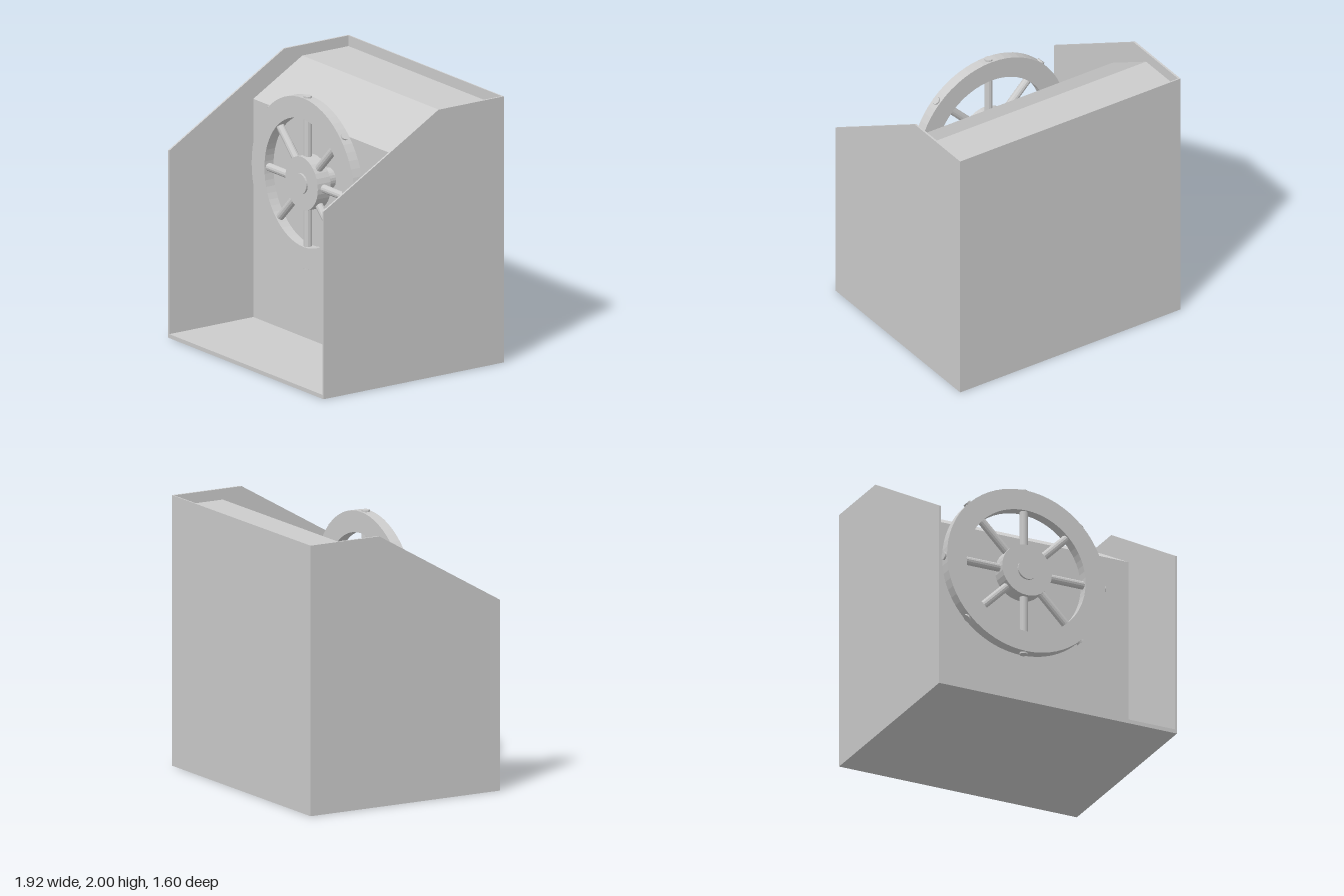
import * as THREE from 'three';

const material = new THREE.MeshStandardMaterial({ color: 0xcccccc, flatShading: true });

// Extrude a [z, y] profile along x, centred on the given x
function profileAlongX(points, width, x) {
  const shape = new THREE.Shape(points.map(([z, y]) => new THREE.Vector2(z, y)));
  const geometry = new THREE.ExtrudeGeometry(shape, { depth: width, bevelEnabled: false });
  geometry.translate(0, 0, -width / 2).rotateY(-Math.PI / 2).translate(x, 0, 0);
  return geometry;
}

function add(parent, name, geometry) {
  const mesh = new THREE.Mesh(geometry, material);
  mesh.name = name;
  parent.add(mesh);
  return mesh;
}

// Cylinder running along z between two depths
function discAlongZ(radius, back, front, sides) {
  return new THREE.CylinderGeometry(radius, radius, front - back, sides)
    .rotateX(Math.PI / 2).translate(0, 0, (back + front) / 2);
}

export function createModel() {
  const model = new THREE.Group();
  model.name = 'wheelHousing';
  const halfWidth = 0.96, wall = 0.015;
  const innerWidth = 2 * (halfWidth - wall);

  // Side walls with sloping front corner
  const sideProfile = [[-0.8, 0], [0.8, 0], [0.8, 1.41], [-0.22, 2], [-0.8, 2]];
  for (const side of [1, -1]) {
    add(model, side > 0 ? 'leftWall' : 'rightWall',
      profileAlongX(sideProfile, wall, side * (halfWidth - wall / 2)));
  }

  // Back wall and floor
  add(model, 'backWall', new THREE.BoxGeometry(innerWidth, 2, 0.01).translate(0, 1, -0.795));
  add(model, 'floor', new THREE.BoxGeometry(innerWidth, 0.03, 1.59).translate(0, 0.015, 0.005));

  // Inner body with sloped shoulder
  add(model, 'innerBody', profileAlongX(
    [[-0.79, 0.03], [0.055, 0.03], [0.055, 1.67], [-0.38, 1.92], [-0.79, 1.92]], innerWidth, 0));

  // Wheel on its axle
  const wheel = new THREE.Group();
  wheel.name = 'wheel';
  wheel.position.set(0, 1.305, 0);
  model.add(wheel);

  add(wheel, 'axle', discAlongZ(0.077, 0.05, 0.32, 24));
  add(wheel, 'hub', discAlongZ(0.2, 0.19, 0.305, 32));

  const ring = new THREE.Shape().absarc(0, 0, 0.638, 0, Math.PI * 2, false);
  ring.holes.push(new THREE.Path().absarc(0, 0, 0.48, 0, Math.PI * 2, true));
  add(wheel, 'rim', new THREE.ExtrudeGeometry(ring, { depth: 0.08, bevelEnabled: false, curveSegments: 32 })
    .translate(0, 0, 0.21));

  // Spokes pass through the rim and end in small pegs
  for (let i = 0; i < 8; i++) {
    add(wheel, 'spoke', new THREE.CylinderGeometry(0.03, 0.03, 0.5, 12)
      .translate(0, 0.4, 0).rotateZ(i * Math.PI / 4).translate(0, 0, 0.25));
  }

  return model;
}
